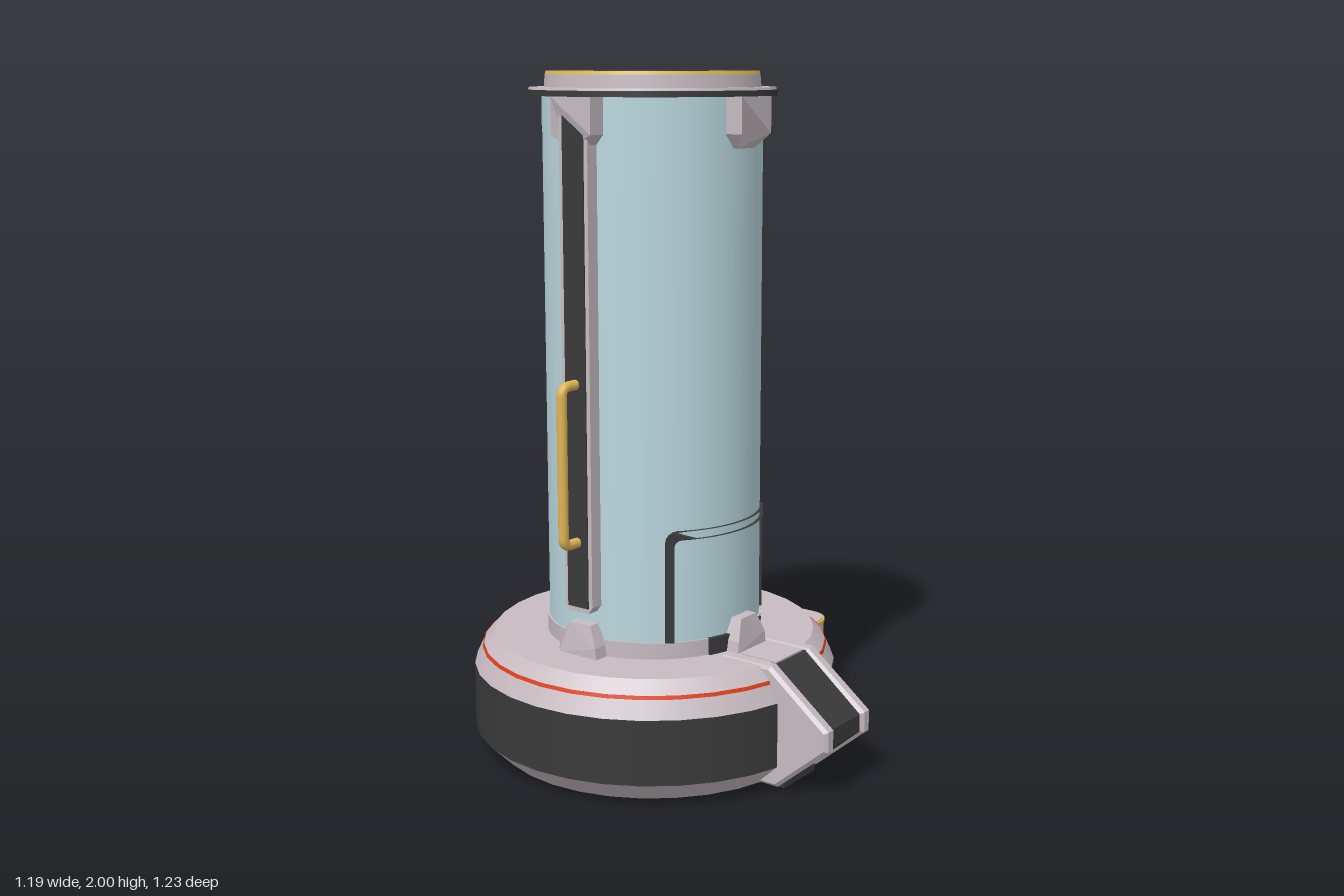
import * as THREE from 'three';

const mat = (color, flatShading = false) => new THREE.MeshStandardMaterial({ color, flatShading });
const GREY = 0xc6bbc1, DARK = 0x3a3a3a, GOLD = 0xdfb655, RED = 0xe0401c, GLASS = 0xb9d7de;

function add(parent, name, geometry, color, flat = false) {
  const mesh = new THREE.Mesh(geometry, mat(color, flat));
  mesh.name = name;
  parent.add(mesh);
  return mesh;
}

// Frustum between two heights
function ring(parent, name, rBottom, rTop, y0, y1, color, sides = 32) {
  const g = new THREE.CylinderGeometry(rTop, rBottom, y1 - y0, sides);
  g.translate(0, (y0 + y1) / 2, 0);
  return add(parent, name, g, color);
}

function box(parent, name, x0, x1, y0, y1, z0, z1, color) {
  const g = new THREE.BoxGeometry(x1 - x0, y1 - y0, z1 - z0);
  g.translate((x0 + x1) / 2, (y0 + y1) / 2, (z0 + z1) / 2);
  return add(parent, name, g, color);
}

const outline = (pts) => new THREE.Shape(pts.map(([x, y]) => new THREE.Vector2(x, y)));
const extrude = (shape, depth, more = {}) =>
  new THREE.ExtrudeGeometry(shape, { depth, bevelEnabled: false, curveSegments: 8, ...more });

// Block facing +z from radius r0 to r1, its outer face sloping in past height yTaper
function clip(parent, name, pts, r0, r1, yTaper, dir, inset) {
  const g = extrude(outline(pts), r1 - r0);
  g.translate(0, 0, r0);
  const p = g.attributes.position;
  for (let i = 0; i < p.count; i++) {
    if ((p.getY(i) - yTaper) * dir > 0.001 && p.getZ(i) > r1 - 0.001) p.setZ(i, r1 - inset);
  }
  g.computeVertexNormals();
  return add(parent, name, g, GREY, true);
}

// Wraps a flat slab (x along the arc, z outward) round the tube
function wrap(g, r) {
  const p = g.attributes.position;
  for (let i = 0; i < p.count; i++) {
    const a = p.getX(i) / r, d = r + p.getZ(i);
    p.setXYZ(i, Math.sin(a) * d, p.getY(i), Math.cos(a) * d);
  }
  g.computeVertexNormals();
  return g;
}

// Inverted U outline: up one side, over a rounded top, down the other
function archPoints(w, y0, y1, r) {
  const pts = [[-w, y0]];
  for (let i = 0; i <= 4; i++) {
    const a = Math.PI - (i / 4) * Math.PI / 2;
    pts.push([-w + r + Math.cos(a) * r, y1 - r + Math.sin(a) * r]);
  }
  for (let i = 1; i < 12; i++) pts.push([(-1 + i / 6) * (w - r), y1]);
  for (let i = 0; i <= 4; i++) {
    const a = Math.PI / 2 - (i / 4) * Math.PI / 2;
    pts.push([w - r + Math.cos(a) * r, y1 - r + Math.sin(a) * r]);
  }
  pts.push([w, y0]);
  return pts;
}

// Plan outline of the side box, rounded on its outer corners
function boxPlan(x0, x1, w, r) {
  const s = new THREE.Shape();
  s.moveTo(x0, -w);
  s.lineTo(x1 - r, -w);
  s.absarc(x1 - r, -w + r, r, -Math.PI / 2, 0);
  s.lineTo(x1, w - r);
  s.absarc(x1 - r, w - r, r, 0, Math.PI / 2);
  s.lineTo(x0, w);
  s.closePath();
  return s;
}
function plate(parent, name, shape, y0, y1, color) {
  const g = extrude(shape, y1 - y0);
  g.rotateX(-Math.PI / 2);
  g.translate(0, y0, 0);
  return add(parent, name, g, color);
}

export function createModel() {
  const model = new THREE.Group();
  model.name = 'cylinderTank';
  const body = new THREE.Group();
  body.name = 'body';
  body.position.set(-0.053, 0, -0.078);
  model.add(body);

  // Round base
  ring(body, 'baseFoot', 0.475, 0.54, 0.01, 0.075, GREY);
  ring(body, 'baseBand', 0.541, 0.541, 0.075, 0.265, DARK);
  ring(body, 'baseShoulder', 0.54, 0.515, 0.265, 0.318, GREY);
  ring(body, 'baseStripe', 0.517, 0.514, 0.316, 0.326, RED);
  ring(body, 'baseRim', 0.513, 0.478, 0.325, 0.362, GREY);

  // Tube, collar and lid
  ring(body, 'collar', 0.32, 0.32, 0.36, 0.41, GREY, 48);
  ring(body, 'tube', 0.314, 0.314, 0.4, 1.935, GLASS, 48);
  ring(body, 'flangeSeal', 0.356, 0.356, 1.93, 1.946, DARK, 24);
  ring(body, 'flange', 0.352, 0.35, 1.946, 1.953, GREY, 24);
  ring(body, 'lid', 0.308, 0.305, 1.95, 1.988, GREY, 32);
  ring(body, 'lidTrim', 0.305, 0.302, 1.988, 1.998, GOLD, 32);
  ring(body, 'lidPanel', 0.277, 0.277, 1.99, 2.0, DARK, 32);

  // Upper and lower clips at the four quarters
  for (let i = 0; i < 4; i++) {
    const quarter = new THREE.Group();
    quarter.name = 'clips';
    quarter.rotation.y = i * Math.PI / 2;
    body.add(quarter);
    clip(quarter, 'upperClip', [[-0.04, 1.79], [0.04, 1.79], [0.07, 1.83], [0.07, 1.93], [-0.07, 1.93], [-0.07, 1.83]],
      0.29, 0.359, 1.82, -1, 0.035);
    clip(quarter, 'lowerClip', [[-0.07, 0.36], [0.07, 0.36], [0.065, 0.395], [0.038, 0.455], [-0.038, 0.455], [-0.065, 0.395]],
      0.29, 0.357, 0.44, 1, 0.012);
  }

  // Side rails with handles
  for (const side of [1, -1]) {
    const rail = new THREE.Group();
    rail.name = side > 0 ? 'leftRail' : 'rightRail';
    rail.rotation.y = side * Math.PI / 2;
    body.add(rail);
    const g = extrude(outline([[-0.036, 0.49], [0.036, 0.49], [0.05, 0.51], [0.05, 1.9], [-0.05, 1.9], [-0.05, 0.51]]), 0.05);
    g.translate(0, 0, 0.299);
    add(rail, 'railFrame', g, GREY);
    box(rail, 'railPanel', -0.037, 0.037, 0.505, 1.88, 0.3, 0.352, DARK);
    if (side > 0) box(rail, 'railStripe', 0.03, 0.037, 0.505, 1.88, 0.31, 0.354, RED);

    const path = new THREE.CurvePath();
    const v = (y, z) => new THREE.Vector3(0, y, z);
    path.add(new THREE.LineCurve3(v(0.695, 0.33), v(0.695, 0.385)));
    path.add(new THREE.QuadraticBezierCurve3(v(0.695, 0.385), v(0.695, 0.41), v(0.72, 0.41)));
    path.add(new THREE.LineCurve3(v(0.72, 0.41), v(1.12, 0.41)));
    path.add(new THREE.QuadraticBezierCurve3(v(1.12, 0.41), v(1.147, 0.41), v(1.147, 0.385)));
    path.add(new THREE.LineCurve3(v(1.147, 0.385), v(1.147, 0.33)));
    add(rail, 'handle', new THREE.TubeGeometry(path, 80, 0.015, 10), GOLD);
  }

  // Hatch frame wrapped on the front of the tube
  const arch = outline([...archPoints(0.255, 0.41, 0.735, 0.035), ...archPoints(0.23, 0.41, 0.71, 0.02).reverse()]);
  const archGeo = extrude(arch, 0.014);
  archGeo.translate(0, 0, -0.004);
  add(body, 'hatchFrame', wrap(archGeo, 0.314), DARK, true);
  const sill = new THREE.BoxGeometry(0.255, 0.05, 0.02, 10, 1, 1);
  sill.translate(0, 0.386, 0);
  add(body, 'hatchSill', wrap(sill, 0.316), DARK, true);

  // Front latch: two grey cheeks round a dark strap
  const latch = new THREE.Group();
  latch.name = 'frontLatch';
  latch.position.x = -0.053;
  model.add(latch);
  const cheek = [[0.25, 0.366], [0.42, 0.366], [0.612, 0.215], [0.612, 0.155], [0.445, 0.012], [0.25, 0.012]];
  const strap = [[0.25, 0.36], [0.415, 0.36], [0.602, 0.21], [0.602, 0.158], [0.44, 0.016], [0.25, 0.016]];
  const slab = (name, pts, x0, x1, color, bevel) => {
    const b = bevel ? 0.01 : 0;
    const g = extrude(outline(pts), x1 - x0 - 2 * b,
      bevel ? { bevelEnabled: true, bevelSize: b, bevelOffset: -b, bevelThickness: b, bevelSegments: 1 } : {});
    g.rotateY(-Math.PI / 2);
    g.translate(x1 - b, 0, 0);
    add(latch, name, g, color, true);
  };
  slab('latchCheek', cheek, 0.073, 0.117, GREY, true);
  slab('latchCheek', cheek, -0.117, -0.073, GREY, true);
  slab('latchStrap', strap, -0.08, 0.08, DARK, false);
  box(latch, 'latchTopPlate', -0.068, 0.068, 0.355, 0.365, 0.285, 0.41, GREY);
  box(latch, 'latchFoot', -0.08, 0.08, 0, 0.02, 0.24, 0.45, DARK);

  // Side box with gold trim, inlaid line and front slot
  const pack = new THREE.Group();
  pack.name = 'sideBox';
  pack.position.z = -0.075;
  model.add(pack);
  plate(pack, 'boxBody', boxPlan(0.38, 0.592, 0.226, 0.075), 0.022, 0.252, GREY);
  plate(pack, 'boxTrim', boxPlan(0.38, 0.595, 0.228, 0.077), 0.252, 0.262, GOLD);
  plate(pack, 'boxTop', boxPlan(0.38, 0.587, 0.221, 0.07), 0.255, 0.265, GREY);
  plate(pack, 'boxInlay', boxPlan(0.38, 0.518, 0.18, 0.035), 0.26, 0.267, DARK);
  plate(pack, 'boxInlayCentre', boxPlan(0.38, 0.508, 0.17, 0.027), 0.262, 0.269, GREY);
  plate(pack, 'boxBottom', boxPlan(0.36, 0.575, 0.21, 0.065), 0.01, 0.024, DARK);
  box(pack, 'boxSlot', 0.56, 0.595, 0.065, 0.12, -0.105, 0.105, GOLD);
  box(pack, 'boxSlotShade', 0.56, 0.594, 0.015, 0.065, -0.105, 0.105, DARK);

  return model;
}
